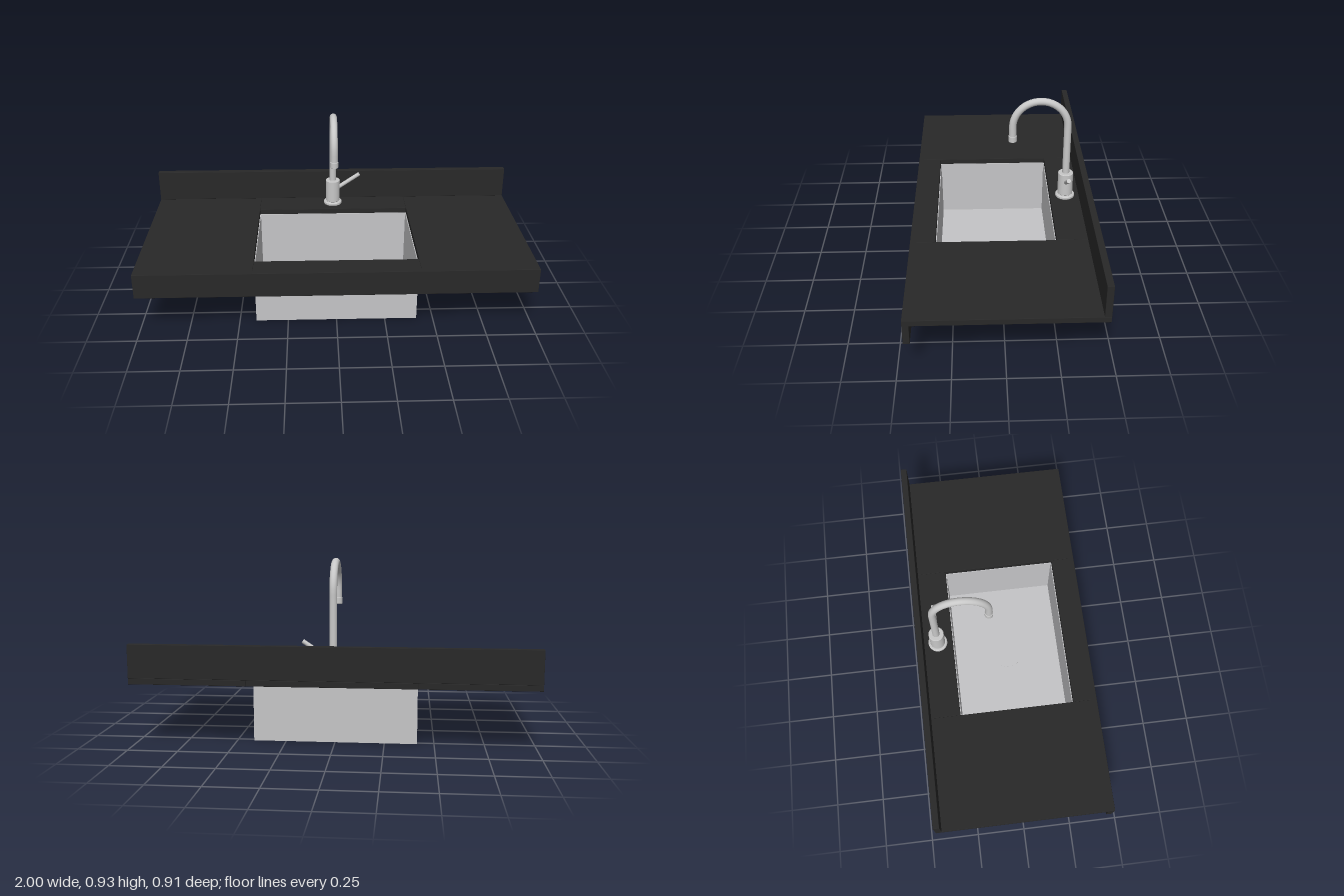
import * as THREE from 'three';
import { RoundedBoxGeometry } from 'three/addons/geometries/RoundedBoxGeometry.js';

export function createModel() {
  const model = new THREE.Group();
  const stone = new THREE.MeshStandardMaterial({ name: 'black stone', color: 0x282828 });
  const steel = new THREE.MeshStandardMaterial({ name: 'brushed steel', color: 0xc5c5c7 });
  const chrome = new THREE.MeshStandardMaterial({ name: 'faucet metal', color: 0xc8c8c8 });

  const add = (parent, name, geometry, material, x = 0, y = 0, z = 0) => {
    const mesh = new THREE.Mesh(geometry, material);
    mesh.name = name;
    mesh.position.set(x, y, z);
    parent.add(mesh);
    return mesh;
  };
  // Box given by its limits, with an optional softened edge
  const block = (parent, name, material, [x0, x1], [y0, y1], [z0, z1], bevel = 0) => {
    const size = [x1 - x0, y1 - y0, z1 - z0];
    const geometry = bevel ? new RoundedBoxGeometry(...size, 2, bevel) : new THREE.BoxGeometry(...size);
    return add(parent, name, geometry, material, (x0 + x1) / 2, (y0 + y1) / 2, (z0 + z1) / 2);
  };

  const hx = 0.415, zBack = -0.27, zFront = 0.332, edge = 0.457;

  // Countertop: four slabs around the basin opening, apron and backsplash
  const counter = new THREE.Group();
  counter.name = 'countertop';
  const top = [0.32, 0.35], bevel = 0.002;
  block(counter, 'leftSlab', stone, [hx, 1], top, [-edge, edge], bevel);
  block(counter, 'rightSlab', stone, [-1, -hx], top, [-edge, edge], bevel);
  block(counter, 'backSlab', stone, [-hx, hx], top, [-edge, zBack], bevel);
  block(counter, 'frontSlab', stone, [-hx, hx], top, [zFront, edge], bevel);
  block(counter, 'frontApron', stone, [-1, 1], [0.22, 0.35], [0.426, edge], bevel);
  block(counter, 'backsplash', stone, [-1, 1], [0.35, 0.518], [-edge, -0.425], bevel);

  // Basin: open box of thin sheet
  const basin = new THREE.Group();
  basin.name = 'basin';
  const t = 0.004, wall = [0, 0.321];
  block(basin, 'basinFloor', steel, [-hx, hx], [0, t], [zBack, zFront]);
  block(basin, 'basinBack', steel, [-hx, hx], wall, [zBack, zBack + t]);
  block(basin, 'basinFront', steel, [-hx, hx], wall, [zFront - t, zFront]);
  for (const s of [-1, 1])
    block(basin, s > 0 ? 'basinLeft' : 'basinRight', steel,
      s > 0 ? [hx - t, hx] : [-hx, t - hx], wall, [zBack + t, zFront - t]);
  add(basin, 'drain', new THREE.CylinderGeometry(0.075, 0.075, 0.002, 40), steel, 0, t + 0.001, 0.035);

  // Faucet: turned base and body, gooseneck spout, side lever
  const faucet = new THREE.Group();
  faucet.name = 'faucet';
  faucet.position.z = -0.35;
  const turned = (name, r, y0, y1, b, z = 0) => {
    const profile = [[0, y0], [r - b, y0], [r - b, y0], [r, y0 + b], [r, y0 + b], [r, y1 - b],
      [r, y1 - b], [r - b, y1], [r - b, y1], [0, y1]];
    add(faucet, name, new THREE.LatheGeometry(profile.map(p => new THREE.Vector2(...p)), 40), chrome, 0, 0, z);
  };
  turned('faucetFlange', 0.051, 0.35, 0.37, 0.005);
  turned('faucetBody', 0.04, 0.37, 0.497, 0.003);

  const R = 0.142, cy = 0.768, path = [];
  for (const y of [0.48, 0.6, 0.7, 0.745]) path.push(new THREE.Vector3(0, y, 0));
  for (let i = 0; i <= 16; i++) {
    const a = Math.PI * i / 16;
    path.push(new THREE.Vector3(0, cy + R * Math.sin(a), R - R * Math.cos(a)));
  }
  path.push(new THREE.Vector3(0, 0.74, 2 * R), new THREE.Vector3(0, 0.7, 2 * R));
  add(faucet, 'spout', new THREE.TubeGeometry(new THREE.CatmullRomCurve3(path), 72, 0.019, 20), chrome);
  turned('spoutTip', 0.0215, 0.686, 0.72, 0.002, 2 * R);

  const from = new THREE.Vector3(0.025, 0.445, 0), to = new THREE.Vector3(0.15, 0.53, 0);
  const dir = to.clone().sub(from);
  const lever = add(faucet, 'leverHandle', new THREE.CylinderGeometry(0.011, 0.011, dir.length(), 20), chrome);
  lever.position.copy(from).add(to).multiplyScalar(0.5);
  lever.quaternion.setFromUnitVectors(new THREE.Vector3(0, 1, 0), dir.normalize());

  model.add(counter, basin, faucet);
  return model;
}
